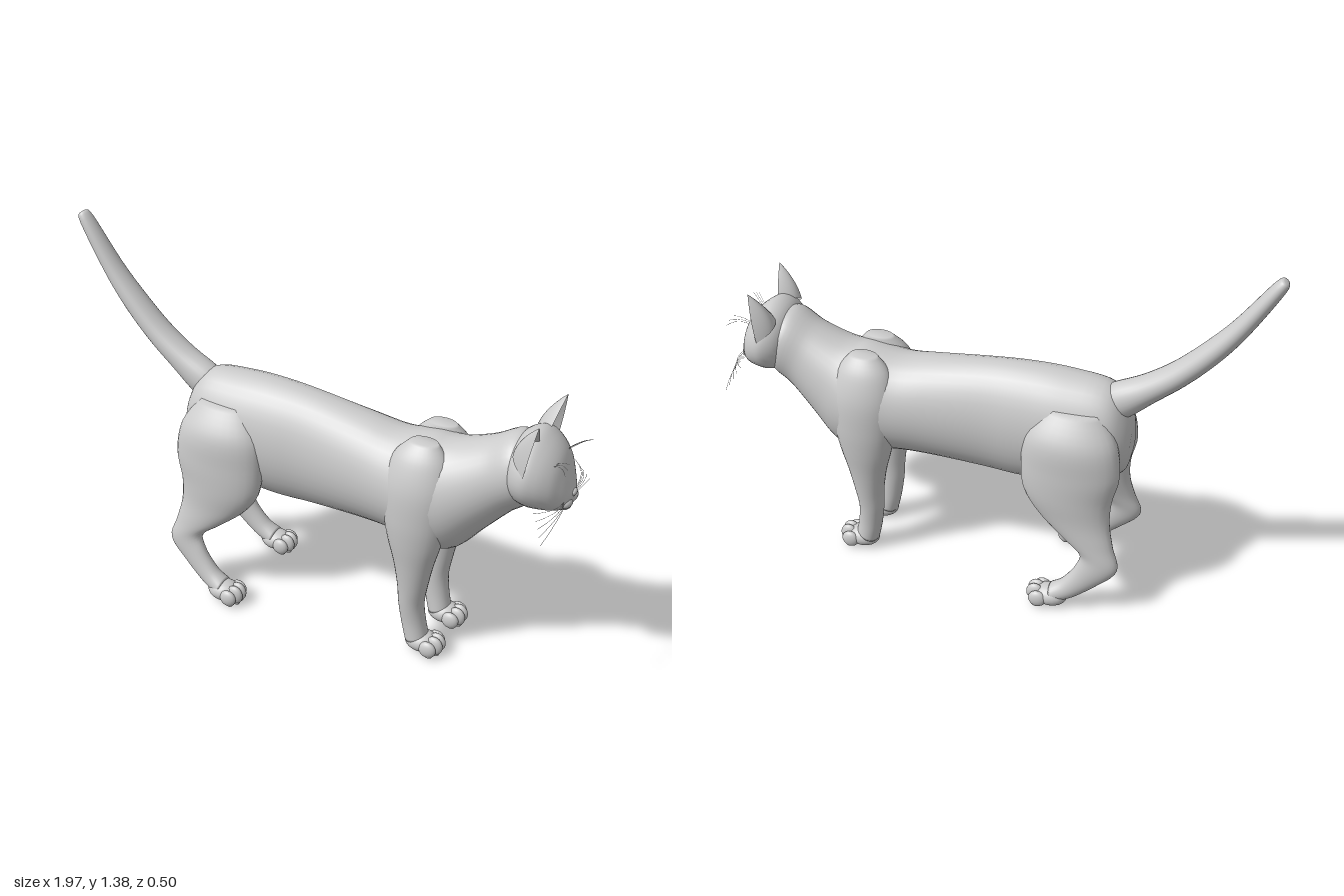
import * as THREE from 'three';
import { ParametricGeometry } from 'three/addons/geometries/ParametricGeometry.js';

const material = new THREE.MeshStandardMaterial({ color: 0xcccccc });
const thin = new THREE.MeshStandardMaterial({ color: 0xcccccc, side: THREE.DoubleSide });
const V = (x, y, z) => new THREE.Vector3(x, y, z);

// Smooth skin through oval rings [x, y, z, half height, half width in z, tilt in degrees].
// Tilt 90 stands the ring upright (path runs +x), tilt 0 lays it flat (path runs down).
function loft(rings, around = 28, steps = 5) {
  const at = (i) => rings[Math.min(Math.max(i, 0), rings.length - 1)];
  const fine = [];
  for (let i = 0; i < rings.length - 1; i++) {
    for (let s = 0; s < steps; s++) {
      const t = s / steps;
      fine.push(at(i).map((b, k) => {
        const a = at(i - 1)[k], c = at(i + 1)[k], d = at(i + 2)[k];
        return b + 0.5 * t * (c - a + t * (2 * a - 5 * b + 4 * c - d + t * (3 * (b - c) + d - a)));
      }));
    }
  }
  fine.push(at(rings.length - 1));
  const pos = [], index = [];
  for (const [x, y, z, h, w, tilt] of fine) {
    const t = THREE.MathUtils.degToRad(tilt);
    for (let j = 0; j < around; j++) {
      const q = (j / around) * Math.PI * 2, v = h * Math.sin(q);
      pos.push(x + v * Math.cos(t), y + v * Math.sin(t), z + w * Math.cos(q));
    }
  }
  for (let i = 0; i < fine.length - 1; i++) {
    for (let j = 0; j < around; j++) {
      const a = i * around + j, b = i * around + (j + 1) % around;
      index.push(a, a + around, b, b, a + around, b + around);
    }
  }
  // Fan caps at both ends
  const first = pos.length / 3, last = (fine.length - 1) * around;
  pos.push(...fine[0].slice(0, 3), ...fine[fine.length - 1].slice(0, 3));
  for (let j = 0; j < around; j++) {
    const k = (j + 1) % around;
    index.push(first, j, k, first + 1, last + k, last + j);
  }
  const g = new THREE.BufferGeometry();
  g.setAttribute('position', new THREE.Float32BufferAttribute(pos, 3));
  g.setIndex(index);
  g.computeVertexNormals();
  return g;
}

// Upright ring given by its top and bottom
const slice = (x, top, bottom, w) => [x, (top + bottom) / 2, 0, (top - bottom) / 2, w, 90];

const bodyRings = [
  slice(-0.535, 0.71, 0.6, 0.045), slice(-0.515, 0.79, 0.53, 0.09), slice(-0.45, 0.872, 0.5, 0.13),
  slice(-0.3, 0.893, 0.45, 0.15), slice(-0.15, 0.895, 0.432, 0.148), slice(0, 0.883, 0.438, 0.142),
  slice(0.2, 0.855, 0.448, 0.152), slice(0.33, 0.838, 0.448, 0.165), slice(0.45, 0.855, 0.43, 0.18),
  [0.535, 0.645, 0, 0.212, 0.17, 97], [0.615, 0.705, 0, 0.168, 0.148, 108],
  [0.71, 0.775, 0, 0.137, 0.126, 111], [0.785, 0.825, 0, 0.13, 0.128, 105], [0.83, 0.84, 0, 0.09, 0.09, 95],
];

const headRings = [
  slice(0.735, 0.9, 0.76, 0.07), slice(0.775, 0.957, 0.72, 0.132), slice(0.825, 0.977, 0.706, 0.158),
  slice(0.87, 0.953, 0.705, 0.146), slice(0.91, 0.91, 0.706, 0.115), slice(0.935, 0.855, 0.712, 0.08),
  slice(0.953, 0.805, 0.722, 0.048), slice(0.962, 0.785, 0.74, 0.022),
];

const tailRings = [
  [-0.992, 1.374, 0, 0.01, 0.015, 37], [-0.975, 1.347, 0, 0.024, 0.03, 35],
  [-0.87, 1.182, 0, 0.034, 0.042, 37], [-0.78, 1.068, 0, 0.041, 0.05, 42],
  [-0.68, 0.965, 0, 0.045, 0.055, 46], [-0.58, 0.885, 0, 0.052, 0.058, 52],
  [-0.48, 0.815, 0, 0.068, 0.06, 60], [-0.4, 0.77, 0, 0.06, 0.05, 70],
];

const foreLegRings = [
  [0.45, 0.86, 0.075, 0.05, 0.03, 0], [0.445, 0.8, 0.09, 0.1, 0.06, 0], [0.445, 0.7, 0.105, 0.125, 0.078, 0],
  [0.445, 0.58, 0.113, 0.118, 0.076, 0], [0.445, 0.48, 0.115, 0.1, 0.068, 0],
  [0.445, 0.38, 0.112, 0.074, 0.058, 0], [0.443, 0.28, 0.108, 0.056, 0.05, 0],
  [0.44, 0.2, 0.104, 0.048, 0.045, 0], [0.45, 0.12, 0.1, 0.046, 0.042, 8], [0.465, 0.05, 0.098, 0.045, 0.045, 20],
];

const hindLegRings = [
  [-0.34, 0.8, 0.085, 0.1, 0.05, 0], [-0.34, 0.7, 0.115, 0.165, 0.085, 0],
  [-0.345, 0.58, 0.132, 0.18, 0.078, 0], [-0.342, 0.47, 0.14, 0.162, 0.07, 0],
  [-0.372, 0.38, 0.15, 0.132, 0.056, 2], [-0.425, 0.3, 0.166, 0.1, 0.042, 8],
  [-0.475, 0.225, 0.178, 0.076, 0.033, 20], [-0.435, 0.155, 0.185, 0.055, 0.032, 40],
  [-0.37, 0.085, 0.19, 0.042, 0.036, 50], [-0.31, 0.05, 0.194, 0.036, 0.044, 75],
];

export function createModel() {
  const cat = new THREE.Group();
  cat.name = 'cat';
  const add = (parent, name, geometry, mat = material) => {
    const m = new THREE.Mesh(geometry, mat);
    m.name = name;
    parent.add(m);
    return m;
  };
  const ball = (parent, name, p, size) => {
    const m = add(parent, name, new THREE.SphereGeometry(1, 20, 14));
    m.position.set(...p);
    m.scale.set(...size);
    return m;
  };

  add(cat, 'body', loft(bodyRings, 36));
  add(cat, 'tail', loft(tailRings));

  const head = new THREE.Group();
  head.name = 'head';
  cat.add(head);
  add(head, 'skull', loft(headRings, 36));
  ball(head, 'nose', [0.958, 0.778, 0], [0.012, 0.013, 0.019]);
  ball(head, 'chin', [0.93, 0.724, 0], [0.026, 0.02, 0.034]);

  // Four-toed paw with pads, its heel end at x
  const paw = (name, x, z) => {
    const g = new THREE.Group();
    g.name = name;
    g.position.set(x, 0, z);
    cat.add(g);
    ball(g, 'instep', [0.065, 0.04, 0], [0.065, 0.04, 0.05]);
    for (let i = 0; i < 4; i++) {
      const k = i - 1.5, outer = Math.abs(k) > 1;
      ball(g, 'toe', [outer ? 0.105 : 0.12, outer ? 0.036 : 0.042, k * 0.026],
        [0.034, outer ? 0.033 : 0.038, 0.018]);
      ball(g, 'toePad', [outer ? 0.11 : 0.125, 0.01, k * 0.025], [0.016, 0.01, 0.011]);
    }
    ball(g, 'heelPad', [0.065, 0.012, 0], [0.026, 0.012, 0.03]);
  };

  for (const [side, s] of [['left', -1], ['right', 1]]) {
    const mirrored = (rings) => rings.map(([x, y, z, ...rest]) => [x, y, z * s, ...rest]);
    add(cat, side + 'ForeLeg', loft(mirrored(foreLegRings)));
    add(cat, side + 'HindLeg', loft(mirrored(hindLegRings)));
    paw(side + 'ForePaw', 0.42, 0.098 * s);
    paw(side + 'HindPaw', -0.37, 0.195 * s);

    // Cupped ear, open to the front
    const rim = new THREE.QuadraticBezierCurve3(
      V(0.84, 0.945, 0.042 * s), V(0.72, 0.955, 0.115 * s), V(0.835, 0.875, 0.157 * s));
    const tip = V(0.865, 1.057, 0.128 * s);
    add(head, side + 'Ear', new ParametricGeometry((u, v, out) => {
      out.copy(rim.getPoint(u)).lerp(tip, v);
      const bulge = 0.05 * v * (1 - v);
      out.z += s * bulge * (u - 0.35);
      out.x -= bulge * Math.sin(u * Math.PI);
    }, 14, 8), thin);

    // Almond eye with a lid rim
    const eye = new THREE.Group();
    eye.name = side + 'Eye';
    eye.position.set(0.913, 0.845, 0.058 * s);
    eye.rotation.set(-0.25 * s, -0.6 * s, 0.45, 'YXZ');
    head.add(eye);
    ball(eye, 'eyeball', [0, 0, 0], [0.014, 0.021, 0.028]);
    const lid = add(eye, 'eyelid', new THREE.TorusGeometry(0.026, 0.004, 8, 28));
    lid.rotation.y = Math.PI / 2;
    lid.scale.set(1.12, 0.84, 1);

    ball(head, side + 'Muzzle', [0.94, 0.748, 0.025 * s], [0.026, 0.023, 0.032]);

    // Fine whiskers and brow hairs
    for (let i = 0; i < 5; i++) {
      const y = 0.735 + i * 0.007;
      const path = new THREE.QuadraticBezierCurve3(V(0.945, y, 0.04 * s),
        V(0.96, y + 0.01, 0.13 * s), V(0.94 - i * 0.012, y - 0.04 + i * 0.014, (0.23 - i * 0.01) * s));
      add(head, side + 'Whisker', new THREE.TubeGeometry(path, 10, 0.0007, 4));
    }
    for (let i = 0; i < 3; i++) {
      const path = new THREE.QuadraticBezierCurve3(V(0.9, 0.89, (0.05 + i * 0.008) * s),
        V(0.94, 0.925, (0.07 + i * 0.01) * s), V(0.965, 0.93 - i * 0.01, (0.09 + i * 0.02) * s));
      add(head, side + 'BrowHair', new THREE.TubeGeometry(path, 8, 0.0007, 4));
    }
  }
  return cat;
}
